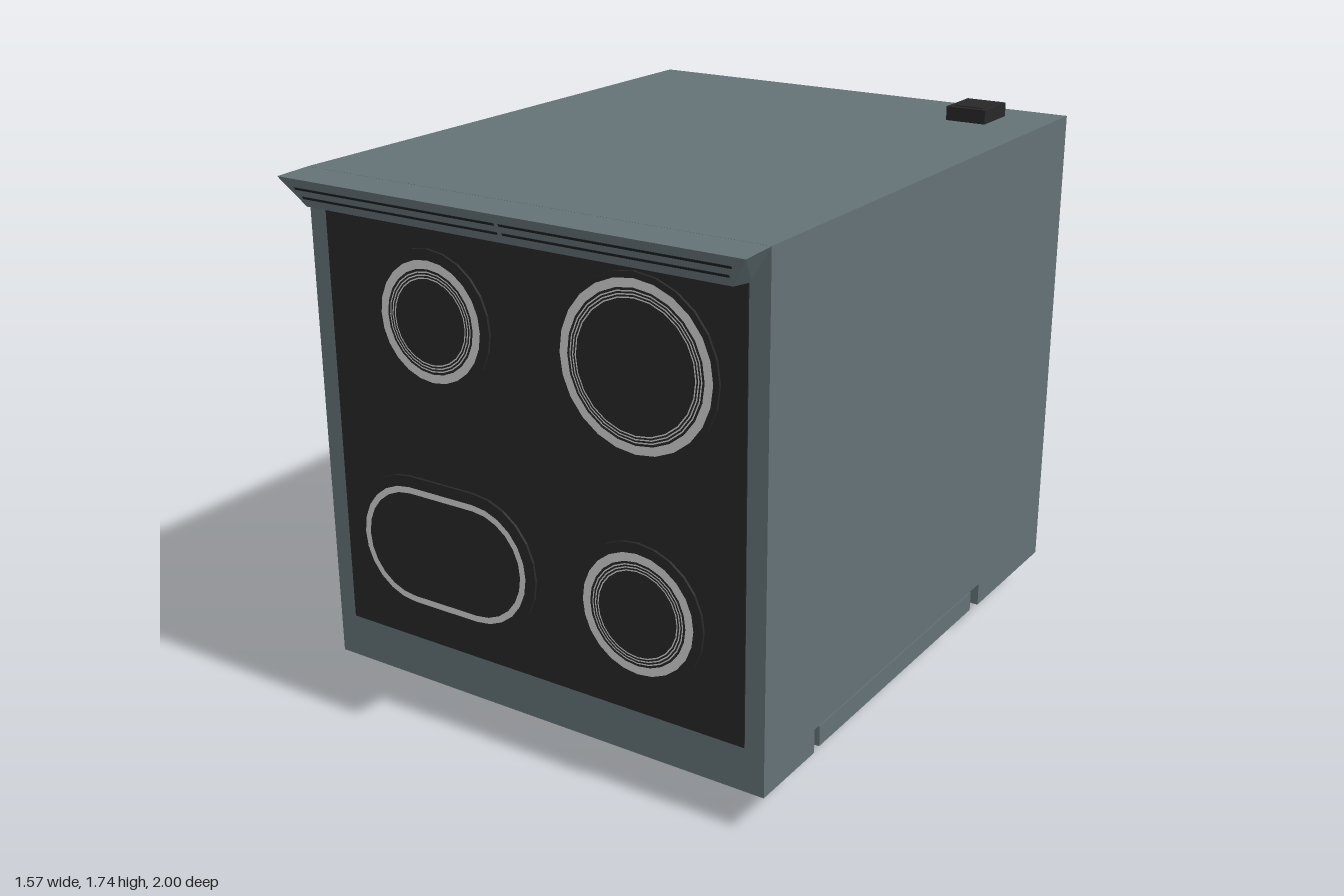
import * as THREE from 'three';
import { ConvexGeometry } from 'three/addons/geometries/ConvexGeometry.js';

const mat = (name, color, side = THREE.FrontSide) => {
  const m = new THREE.MeshStandardMaterial({ color, side });
  m.name = name;
  return m;
};

export function createModel() {
  const steel = mat('blue grey enamel', 0x647277);
  const panel = mat('front panel steel', 0x738287);
  const black = mat('black glass', 0x282828);
  const dark = mat('dark gap', 0x1c1f20);
  const mark = mat('burner marking', 0xd2d2d2, THREE.DoubleSide);
  const metal = mat('knob metal', 0xb0b1ae);
  const strap = mat('handle metal', 0x88a2a5);

  const root = new THREE.Group();
  root.name = 'range';

  const add = (name, geo, material, parent = root) => {
    const mesh = new THREE.Mesh(geo, material);
    mesh.name = name;
    parent.add(mesh);
    return mesh;
  };
  // Box given by its limits on each axis
  const box = (name, material, [x0, x1], [y0, y1], [z0, z1], parent = root) => {
    const mesh = add(name, new THREE.BoxGeometry(x1 - x0, y1 - y0, z1 - z0), material, parent);
    mesh.position.set((x0 + x1) / 2, (y0 + y1) / 2, (z0 + z1) / 2);
    return mesh;
  };
  const group = (name) => {
    const g = new THREE.Group();
    g.name = name;
    root.add(g);
    return g;
  };

  // Body: side profile with a notch for the door, extruded across the width
  const profile = new THREE.Shape([
    [-1, 0.122], [-0.51, 0.122], [-0.51, 0.197], [0.6, 0.197],
    [0.6, 0.122], [0.88, 0.122], [0.88, 1.695], [-1, 1.695],
  ].map(([z, y]) => new THREE.Vector2(z, y)));
  const bodyGeo = new THREE.ExtrudeGeometry(profile, { depth: 1.566, bevelEnabled: false });
  bodyGeo.rotateY(-Math.PI / 2).translate(0.783, 0, 0);
  add('body', bodyGeo, steel);

  // Oven door with window, and the facings of the drawer and control panel
  box('door', steel, [-0.78, 0.78], [0.125, 0.19], [-0.455, 0.565]);
  box('doorHinge', steel, [-0.7, 0.7], [0.185, 0.2], [-0.4, 0.5]);
  box('doorFacing', panel, [-0.78, 0.78], [0.123, 0.125], [-0.455, 0.565]);
  box('drawerFacing', panel, [-0.783, 0.783], [0.12, 0.122], [-1, -0.51]);
  box('controlFacing', panel, [-0.783, 0.783], [0.12, 0.122], [0.6, 0.88]);
  box('ovenWindow', black, [-0.62, 0.62], [0.1215, 0.1235], [-0.19, 0.43]);

  // Door and drawer handles: a rail with a thin strap loop
  for (const [name, z] of [['doorHandle', 0.49], ['drawerHandle', -0.61]]) {
    const g = group(name);
    box('rail', steel, [-0.5, 0.5], [0.07, 0.124], [z - 0.03, z + 0.03], g);
    box('grip', strap, [-0.49, 0.49], [0, 0.01], [z - 0.018, z + 0.018], g);
    for (const s of [-1, 1]) {
      const x = s * 0.485;
      box('gripEnd', strap, [x - 0.005, x + 0.005], [0.01, 0.07], [z - 0.018, z + 0.018], g);
    }
    box('gripTop', strap, [-0.49, 0.49], [0.06, 0.07], [z - 0.018, z + 0.018], g);
  }

  // Control panel: display and four knobs
  box('display', black, [-0.18, 0.18], [0.1185, 0.1205], [0.68, 0.81]);
  for (const x of [-0.63, -0.37, 0.36, 0.62]) {
    const knob = group('knob');
    knob.position.set(x, 0, 0.74);
    add('knobCollar', new THREE.CylinderGeometry(0.064, 0.064, 0.012, 24), metal, knob).position.y = 0.099;
    add('knobBase', new THREE.CylinderGeometry(0.076, 0.076, 0.016, 24), metal, knob).position.y = 0.112;
    const grip = add('knobGrip', new THREE.CylinderGeometry(0.07, 0.056, 0.038, 4, 1), metal, knob);
    grip.geometry.rotateY(Math.PI / 4);
    grip.geometry.scale(0.26, 1, 1.05);
    grip.position.y = 0.075;
  }

  // Glass cooktop
  box('cooktop', black, [-0.72, 0.72], [0.26, 1.595], [0.87, 0.883]);

  // Outline of a circle, or of an oval with a straight middle part
  const outline = (Type, r, half) => {
    const p = new Type();
    const n = 24;
    for (let i = 0; i <= n + 1; i++) {
      const right = i <= n / 2;
      const a = -Math.PI / 2 + (right ? i : i - 1) * 2 * Math.PI / n;
      const x = (right ? half : -half) + r * Math.cos(a);
      const y = r * Math.sin(a);
      if (i === 0) p.moveTo(x, y); else p.lineTo(x, y);
    }
    p.closePath();
    return p;
  };
  const ring = (outer, inner, half) => {
    const shape = outline(THREE.Shape, outer, half);
    shape.holes.push(outline(THREE.Path, inner, half));
    return new THREE.ShapeGeometry(shape);
  };

  // Burners: x, y, outer radius, marking radius, half of the straight part
  const burners = [
    [-0.333, 1.303, 0.215, 0.183, 0],
    [0.375, 1.303, 0.265, 0.247, 0],
    [0.373, 0.575, 0.218, 0.187, 0],
    [-0.33, 0.577, 0.225, 0.19, 0.12],
  ];
  for (const [x, y, r, m, half] of burners) {
    const g = group('burner');
    g.position.set(x, y, 0.883);
    add('burnerPlate', new THREE.ExtrudeGeometry(outline(THREE.Shape, r, half),
      { depth: 0.008, bevelEnabled: false }), black, g);
    add('burnerRing', ring(m, m - (half ? 0.02 : 0.026), half), mark, g).position.z = 0.0095;
    if (half) continue;
    for (const d of [0.033, 0.042, 0.051]) {
      add('burnerInnerRing', ring(m - d, m - d - 0.004, 0), mark, g).position.z = 0.0095;
    }
  }

  // Vent trim flaring out above the cooktop
  const corners = [];
  for (const s of [-1, 1]) {
    for (const [x, y, z] of [[0.783, 1.695, 0.87], [0.783, 1.69, 1], [0.72, 1.6, 0.955], [0.72, 1.59, 0.87]]) {
      corners.push(new THREE.Vector3(s * x, y, z));
    }
  }
  add('ventTrim', new ConvexGeometry(corners), steel);
  for (const s of [-1, 1]) {
    for (const [y, width] of [[1.63, 0.71], [1.658, 0.725]]) {
      const slot = add('ventSlot', new THREE.BoxGeometry(width, 0.008, 0.003), dark);
      slot.position.set(s * (0.008 + width / 2), y, 0.955 + (y - 1.6) / 2);
      slot.rotation.x = 0.464;
    }
  }

  // Cable box on the back panel
  const cable = group('cableBox');
  box('cableBoxBase', black, [0.48, 0.615], [1.69, 1.74], [-0.885, -0.725], cable);
  box('cableBoxLid', black, [0.5, 0.595], [1.74, 1.743], [-0.865, -0.745], cable);

  return root;
}
